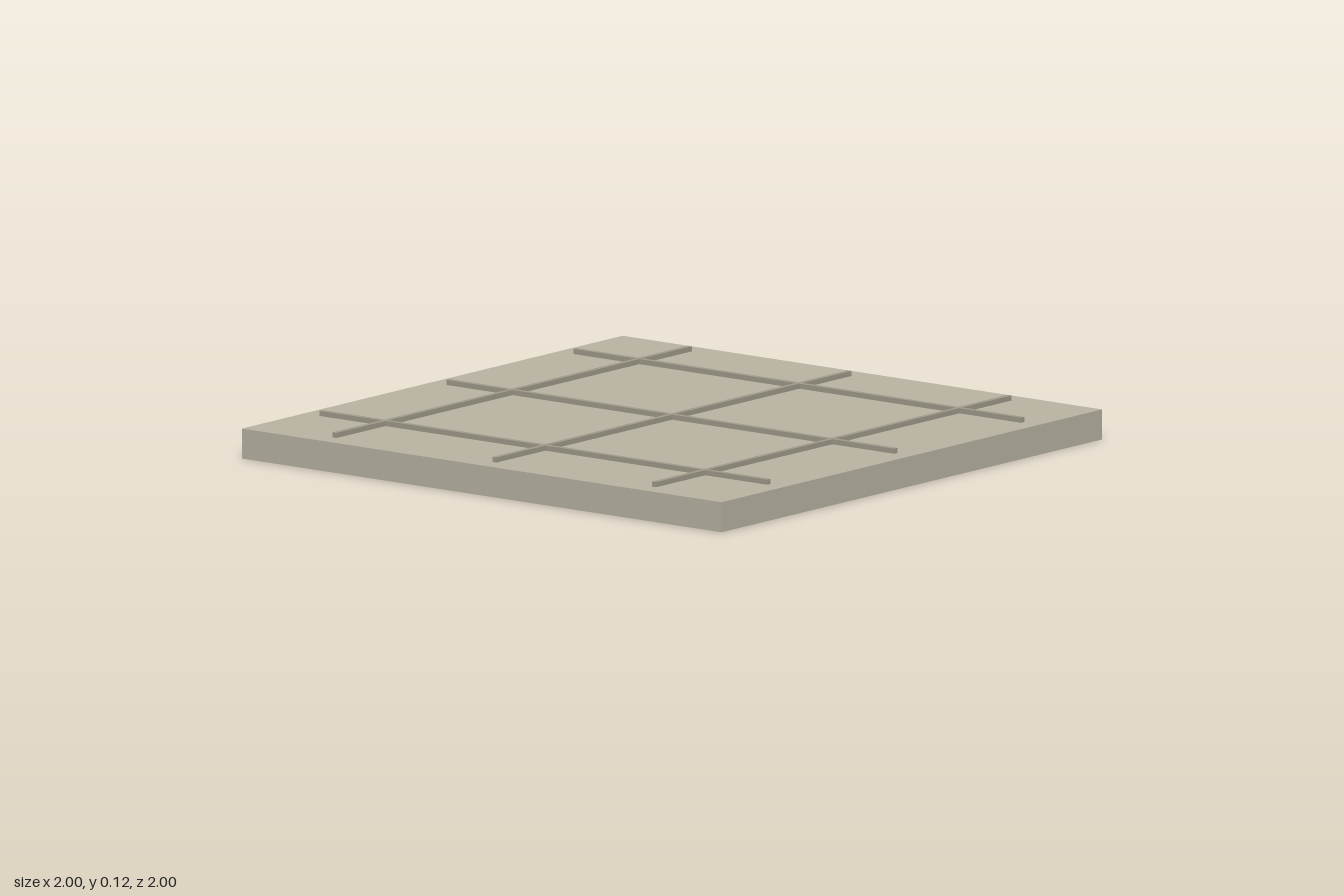
import * as THREE from 'three';

export function createModel() {
  const group = new THREE.Group();
  const slabMaterial = new THREE.MeshStandardMaterial({ color: 0xbab5a4 });
  const barMaterial = new THREE.MeshStandardMaterial({ color: 0xa19c8c });

  const addBox = (name, size, position, material) => {
    const mesh = new THREE.Mesh(new THREE.BoxGeometry(...size), material);
    mesh.name = name;
    mesh.position.set(...position);
    group.add(mesh);
  };

  // Square base slab
  const slabHeight = 0.1;
  addBox('slab', [2, slabHeight, 2], [0, slabHeight / 2, 0], slabMaterial);

  // Raised grid: three bars each way, stopping short of the slab edge
  const barLength = 1.867;
  const barWidth = 0.017;
  const barY = slabHeight + barWidth / 2;
  for (const offset of [-0.667, 0, 0.667]) {
    addBox('crosswiseBar', [barLength, barWidth, barWidth], [0, barY, offset], barMaterial);
    addBox('lengthwiseBar', [barWidth, barWidth, barLength], [offset, barY, 0], barMaterial);
  }
  return group;
}
